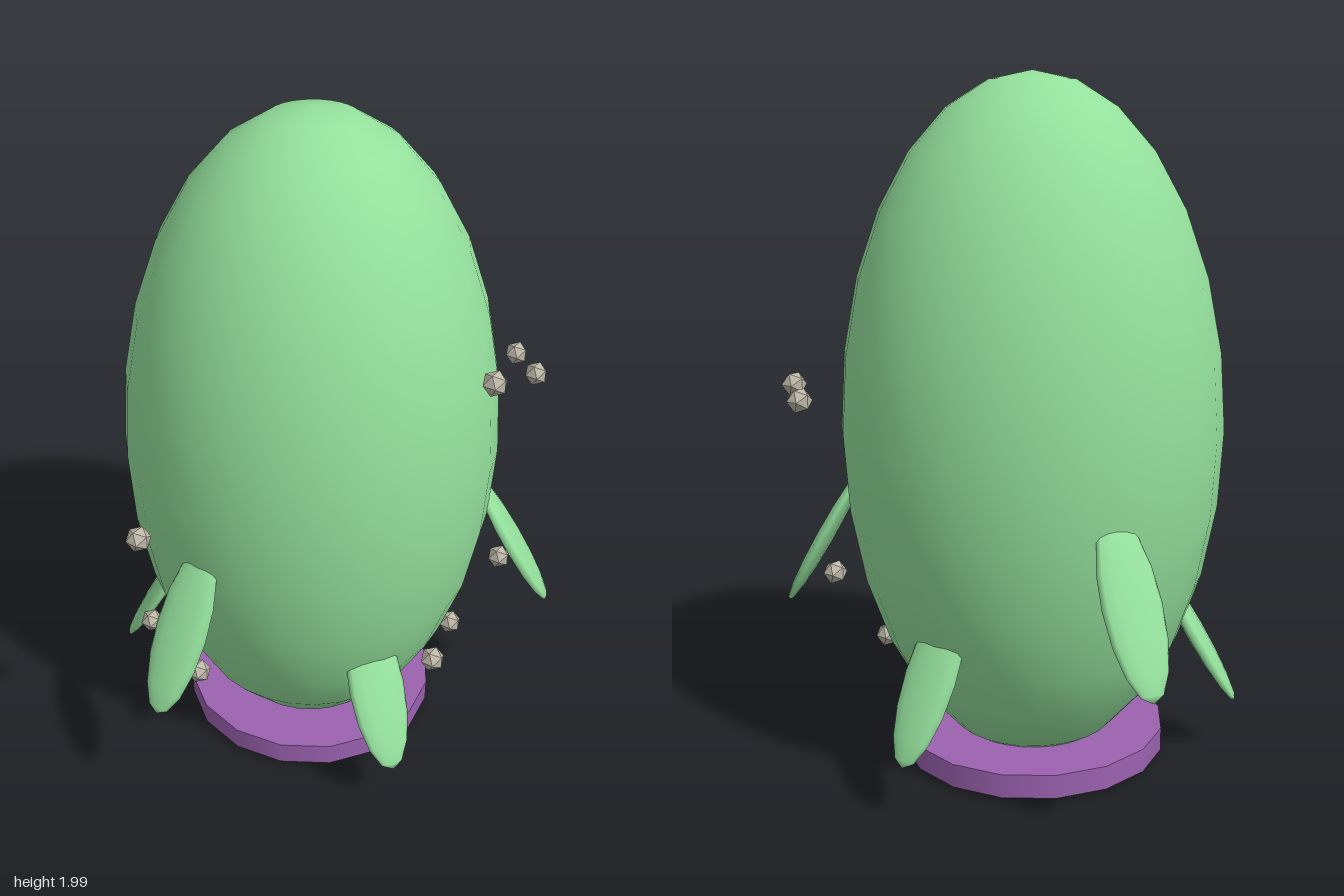
import * as THREE from 'three';

const AXIS_X = 0.065; // the body's upright axis

export function createModel() {
  const model = new THREE.Group();
  model.name = 'podCreature';

  const material = (name, color, flatShading = false) => {
    const m = new THREE.MeshStandardMaterial({ color, flatShading });
    m.name = name;
    return m;
  };
  const green = material('leafGreen', 0x94e09c);
  const purple = material('basePurple', 0x9b62b0);
  const grey = material('stoneGrey', 0xbdb7a8, true);

  const add = (name, geometry, mat, parent = model) => {
    const mesh = new THREE.Mesh(geometry, mat);
    mesh.name = name;
    parent.add(mesh);
    return mesh;
  };

  // Tall egg-shaped body
  const body = add('body', new THREE.SphereGeometry(1, 28, 14), green);
  body.scale.set(0.55, 0.995, 0.55);
  body.position.set(AXIS_X, 1.005, 0);

  // Flat disc the body stands in
  const base = add('base', new THREE.CylinderGeometry(0.39, 0.39, 0.07, 16), purple);
  base.position.set(AXIS_X, 0.057, 0);

  // Two staggered rows of three flattened fins, leaning outwards at the bottom
  const finGeometry = new THREE.SphereGeometry(1, 12, 8).scale(0.025, 0.25, 0.0875);
  const addFins = (name, radius, y, angles) => {
    for (const degrees of angles) {
      const arm = new THREE.Group();
      arm.name = name;
      arm.position.set(AXIS_X, y, 0);
      arm.rotation.y = -THREE.MathUtils.degToRad(degrees);
      const fin = add(name + 'Blade', finGeometry, green, arm);
      fin.position.x = radius;
      fin.rotation.z = 0.52;
      model.add(arm);
    }
  };
  addFins('upperFin', 0.62, 0.657, [60, 180, 300]);
  addFins('lowerFin', 0.48, 0.387, [0, 120, 240]);

  // Small faceted stones floating around the body
  const stoneGeometry = new THREE.IcosahedronGeometry(0.036, 0);
  const stones = [
    [0.025, 1.4, 0.61], [0.54, 1.145, 0.48], [0.64, 1.13, 0.36],
    [-0.615, 0.98, -0.08], [-0.105, 0.525, 0.555], [-0.41, 0.365, -0.07],
    [0.27, 0.33, 0.4], [0.4, 0.55, 0.485], [-0.27, 0.31, -0.385],
  ];
  for (const p of stones) add('stone', stoneGeometry, grey).position.set(...p);

  return model;
}
